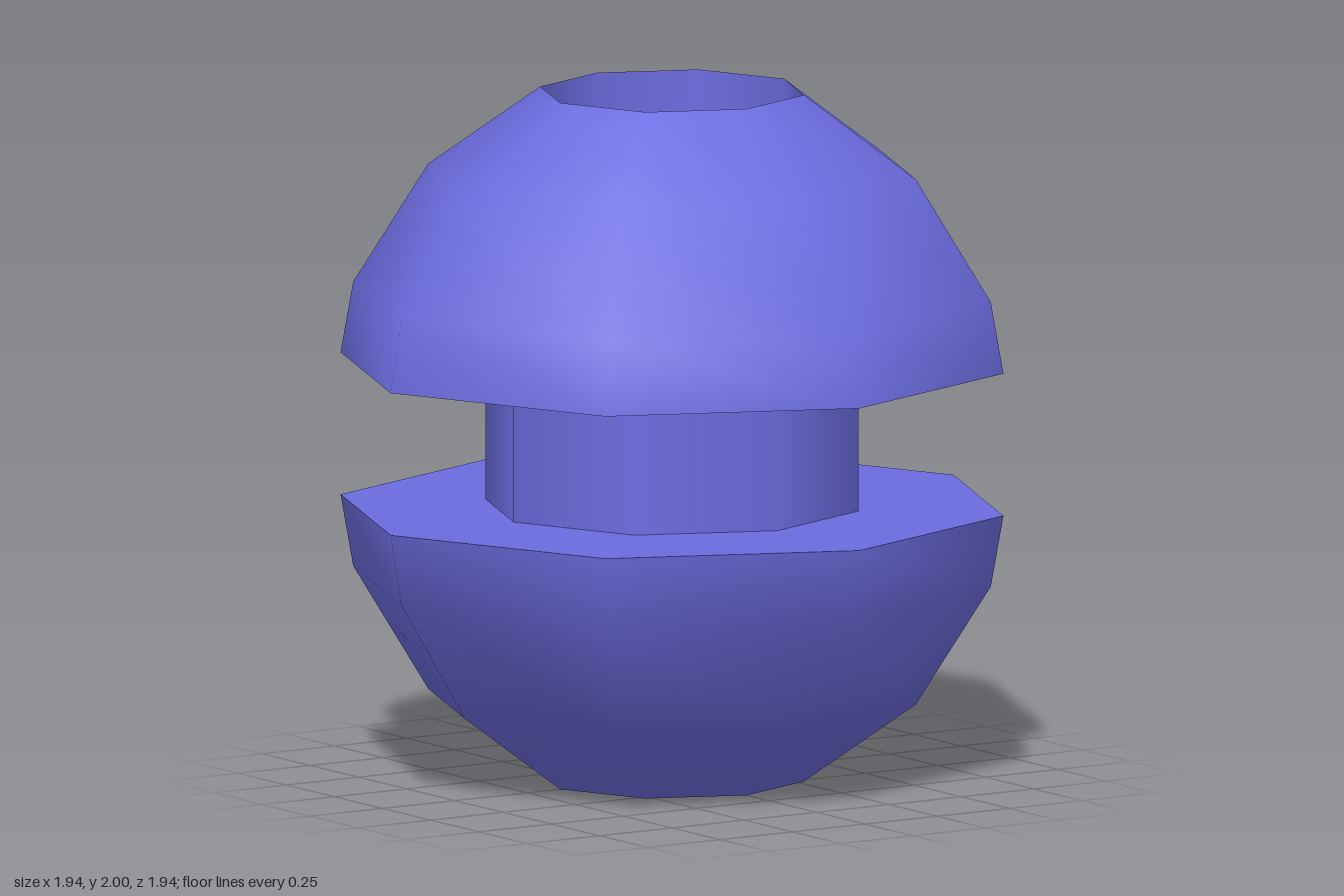
import * as THREE from 'three';

const material = new THREE.MeshStandardMaterial({ color: 0x6c6ce0 });
const SIDES = 8;

// Revolve one smooth run of the profile; separate runs meet in sharp edges
function ring(name, points) {
  const profile = points.map(([r, y]) => new THREE.Vector2(r, y));
  const mesh = new THREE.Mesh(new THREE.LatheGeometry(profile, SIDES), material);
  mesh.name = name;
  return mesh;
}

export function createModel() {
  const model = new THREE.Group();
  model.name = 'slottedSphere';

  const holeR = 0.387, holeDepth = 0.37;
  const coreR = 0.547, rimR = 0.972, slotY = 0.793;

  // Profile runs of the lower half, from the axis of the bottom recess outwards
  const runs = {
    RecessFloor: [[0, holeDepth], [holeR, holeDepth]],
    RecessWall: [[holeR, holeDepth], [holeR, 0]],
    Shell: [[holeR, 0], [0.715, 0.235], [0.935, 0.586], [rimR, slotY]],
    Ledge: [[rimR, slotY], [coreR, slotY]],
  };

  // The upper half mirrors the lower one; reversing the run keeps faces outward
  for (const half of ['lower', 'upper']) {
    const group = new THREE.Group();
    group.name = half + 'Half';
    for (const [part, points] of Object.entries(runs)) {
      const run = half === 'lower' ? points : points.map(([r, y]) => [r, 2 - y]).reverse();
      group.add(ring(half + part, run));
    }
    model.add(group);
  }

  // Core joining the halves inside the slot
  model.add(ring('core', [[coreR, slotY], [coreR, 2 - slotY]]));
  return model;
}
